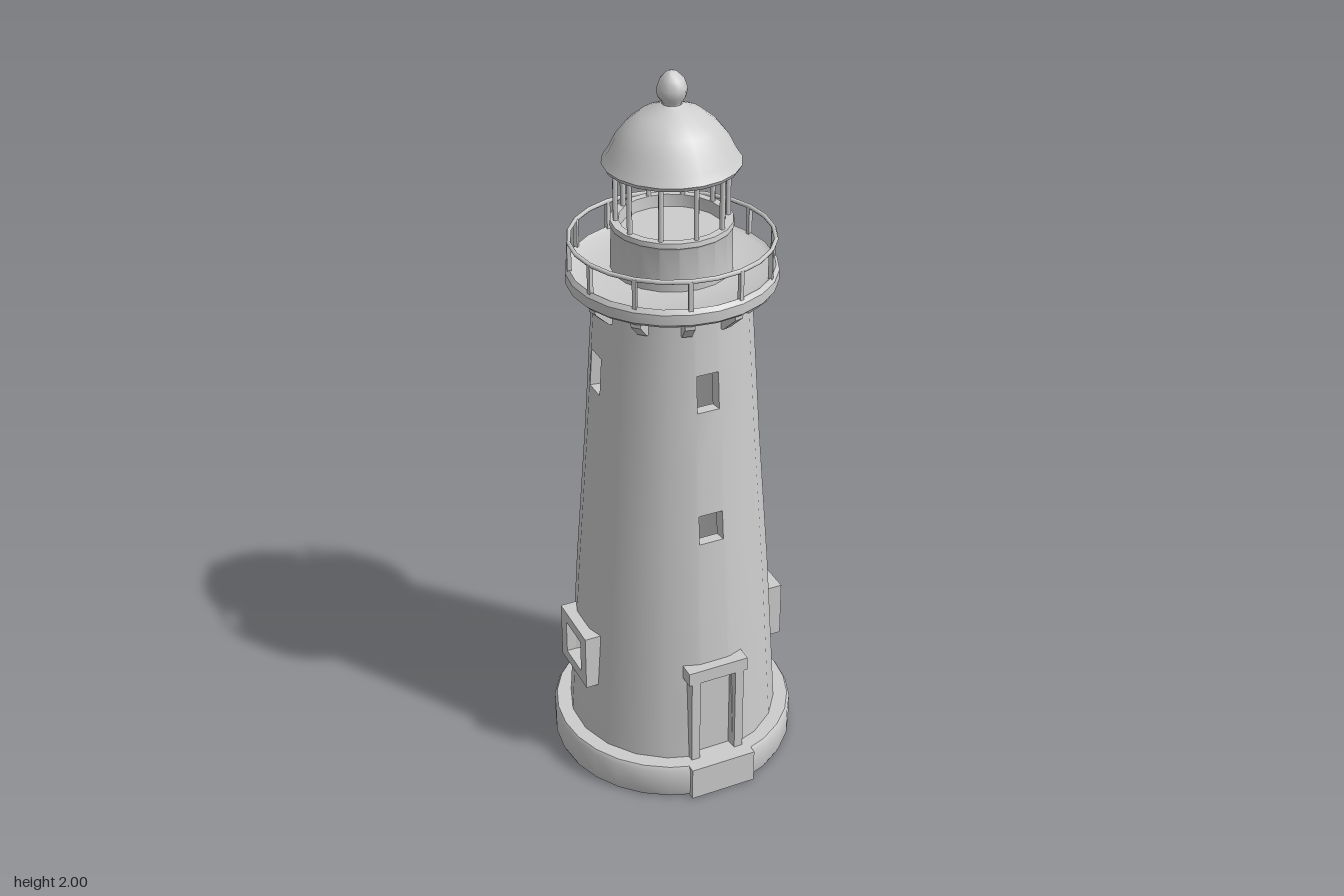
import * as THREE from 'three';
import { toCreasedNormals } from 'three/addons/utils/BufferGeometryUtils.js';

const stone = new THREE.MeshStandardMaterial({ color: 0xcccccc, side: THREE.DoubleSide });
stone.name = 'paleStone';

function add(parent, name, geometry, x = 0, y = 0, z = 0) {
  const mesh = new THREE.Mesh(geometry, stone);
  mesh.name = name;
  mesh.position.set(x, y, z);
  parent.add(mesh);
  return mesh;
}

// Turned part from [radius, height] pairs
function lathe(points, sides, crease = 0.6) {
  const g = new THREE.LatheGeometry(points.map(p => new THREE.Vector2(p[0], p[1])), sides);
  return toCreasedNormals(g, crease);
}

// Repeats a part evenly around the axis
function ring(parent, name, count, offset, build) {
  for (let i = 0; i < count; i++) {
    const arm = new THREE.Group();
    arm.name = name;
    arm.rotation.y = offset + (i * Math.PI * 2) / count;
    build(arm);
    parent.add(arm);
  }
}

const HALF = Math.PI / 2;
const WALL = 0.03;
const profile = [[0.05, 0.297], [0.1, 0.294], [0.58, 0.264], [1.0, 0.232], [1.45, 0.203]];

function radiusAt(y) {
  let i = 0;
  while (i < profile.length - 2 && y > profile[i + 1][0]) i++;
  const [y0, r0] = profile[i], [y1, r1] = profile[i + 1];
  return r0 + ((r1 - r0) * (y - y0)) / (y1 - y0);
}

// Openings: quarter turn from the front, half angle, bottom and top
const openings = [{ q: 0, h: 0.18, y0: 0.1, y1: 0.365 }];
for (let q = 0; q < 4; q++) {
  openings.push({ q, h: 0.14, y0: 1.165, y1: 1.27 });
  if (q % 2 === 0) openings.push({ q, h: 0.14, y0: 0.78, y1: 0.865 });
  if (q > 0) openings.push({ q, h: 0.18, y0: 0.305, y1: 0.41 });
}

// Hollow tapering wall with openings and their reveals
function towerGeometry() {
  const pos = [];
  const at = (a, y, inset) => {
    const r = radiusAt(y) - inset;
    return [Math.sin(a) * r, y, Math.cos(a) * r];
  };
  const quad = (a, b, c, d) => pos.push(...a, ...b, ...c, ...a, ...c, ...d);
  const steps = [-0.18, -0.14, 0.14, 0.18, 0.48, 0.785, 1.09];
  const angles = [];
  for (let q = 0; q < 4; q++) for (const s of steps) angles.push(q * HALF + s);
  angles.push(4 * HALF + steps[0]);
  const rows = [0.05, 0.1, 0.305, 0.365, 0.41, 0.58, 0.78, 0.865, 1.0, 1.165, 1.27, 1.45];

  for (let i = 0; i < angles.length - 1; i++) {
    for (let j = 0; j < rows.length - 1; j++) {
      const a = angles[i], b = angles[i + 1], y0 = rows[j], y1 = rows[j + 1];
      const my = (y0 + y1) / 2, ma = (a + b) / 2;
      const open = openings.some(o =>
        Math.abs(ma - o.q * HALF) < o.h && my > o.y0 && my < o.y1);
      if (open) continue;
      quad(at(a, y0, 0), at(b, y0, 0), at(b, y1, 0), at(a, y1, 0));
      quad(at(b, y0, WALL), at(a, y0, WALL), at(a, y1, WALL), at(b, y1, WALL));
    }
  }
  for (const o of openings) {
    const l = o.q * HALF - o.h, r = o.q * HALF + o.h;
    const loop = [[l, o.y0], [r, o.y0], [r, o.y1], [l, o.y1]];
    loop.forEach((p, i) => {
      const n = loop[(i + 1) % 4];
      quad(at(p[0], p[1], 0), at(p[0], p[1], WALL), at(n[0], n[1], WALL), at(n[0], n[1], 0));
    });
  }
  const g = new THREE.BufferGeometry();
  g.setAttribute('position', new THREE.Float32BufferAttribute(pos, 3));
  return toCreasedNormals(g, 0.5);
}

// Raised rectangular surround
function frameGeometry(w, h, holeW, holeH, depth) {
  const rect = (path, a, b) => path.moveTo(-a, -b).lineTo(a, -b).lineTo(a, b).lineTo(-a, b).closePath();
  const shape = rect(new THREE.Shape(), w / 2, h / 2);
  shape.holes.push(rect(new THREE.Path(), holeW / 2, holeH / 2));
  return new THREE.ExtrudeGeometry(shape, { depth, bevelEnabled: false });
}

export function createModel() {
  const model = new THREE.Group();
  model.name = 'lighthouse';

  // Open foundation ring and the flat step before the door
  add(model, 'foundation', lathe([[0.3, 0], [0.335, 0], [0.34, 0.012], [0.34, 0.088],
    [0.333, 0.1], [0.265, 0.1], [0.27, 0.06], [0.3, 0.05], [0.3, 0]], 28));
  add(model, 'doorStep', new THREE.BoxGeometry(0.19, 0.1, 0.045), 0, 0.05, 0.3175);

  add(model, 'tower', towerGeometry());

  // Door with posts and lintel
  const door = new THREE.Group();
  door.name = 'doorway';
  model.add(door);
  add(door, 'doorPanel', new THREE.BoxGeometry(0.11, 0.27, 0.012), 0, 0.235, 0.262);
  for (const s of [-1, 1]) add(door, 'doorPost', new THREE.BoxGeometry(0.025, 0.285, 0.05), s * 0.0655, 0.2425, 0.273);
  add(door, 'doorLintel', new THREE.BoxGeometry(0.175, 0.04, 0.052), 0, 0.385, 0.274);

  // Framed lower windows on the other three sides
  for (let q = 1; q < 4; q++) {
    const side = new THREE.Group();
    side.name = 'lowerWindow';
    side.rotation.y = q * HALF;
    add(side, 'windowFrame', frameGeometry(0.175, 0.165, 0.1, 0.1, 0.045), 0, 0.36, 0.256);
    model.add(side);
  }

  // Gallery floor, brackets and railing
  add(model, 'galleryFloor', lathe([[0.17, 1.44], [0.262, 1.44], [0.273, 1.45], [0.273, 1.478],
    [0.264, 1.49], [0.25, 1.482], [0.14, 1.482]], 24));
  const bracket = new THREE.Shape([[0.19, 1.385], [0.213, 1.385], [0.258, 1.428], [0.258, 1.445], [0.19, 1.445]]
    .map(p => new THREE.Vector2(p[0], p[1])));
  const bracketGeometry = new THREE.ExtrudeGeometry(bracket, { depth: 0.026, bevelEnabled: false });
  bracketGeometry.translate(0, 0, -0.013);
  const post = new THREE.BoxGeometry(0.011, 0.085, 0.011);
  ring(model, 'galleryBay', 12, HALF / 6, arm => {
    add(arm, 'bracket', bracketGeometry);
    add(arm, 'railPost', post, 0.262, 1.522, 0);
  });
  const rail = add(model, 'handrail', new THREE.TorusGeometry(0.262, 0.006, 6, 24), 0, 1.563, 0);
  rail.rotation.x = HALF;

  // Lantern wall with slender uprights
  add(model, 'lanternWall', lathe([[0.157, 1.48], [0.155, 1.595], [0.158, 1.6], [0.156, 1.613],
    [0.135, 1.613], [0.133, 1.58], [0, 1.58]], 20));
  const upright = new THREE.CylinderGeometry(0.007, 0.007, 0.17, 6);
  ring(model, 'lanternBay', 10, HALF, arm => add(arm, 'upright', upright, 0.142, 1.69, 0));

  // Bell-shaped roof and pointed finial
  add(model, 'roof', lathe([[0, 1.78], [0.13, 1.762], [0.17, 1.757], [0.176, 1.768], [0.16, 1.792],
    [0.142, 1.828], [0.115, 1.862], [0.078, 1.892], [0.04, 1.908], [0.025, 1.916]], 20, 0.7));
  add(model, 'finial', lathe([[0.024, 1.905], [0.024, 1.918], [0.036, 1.935], [0.039, 1.955],
    [0.03, 1.98], [0.013, 1.996], [0, 2.0]], 10, 0.8));

  return model;
}
